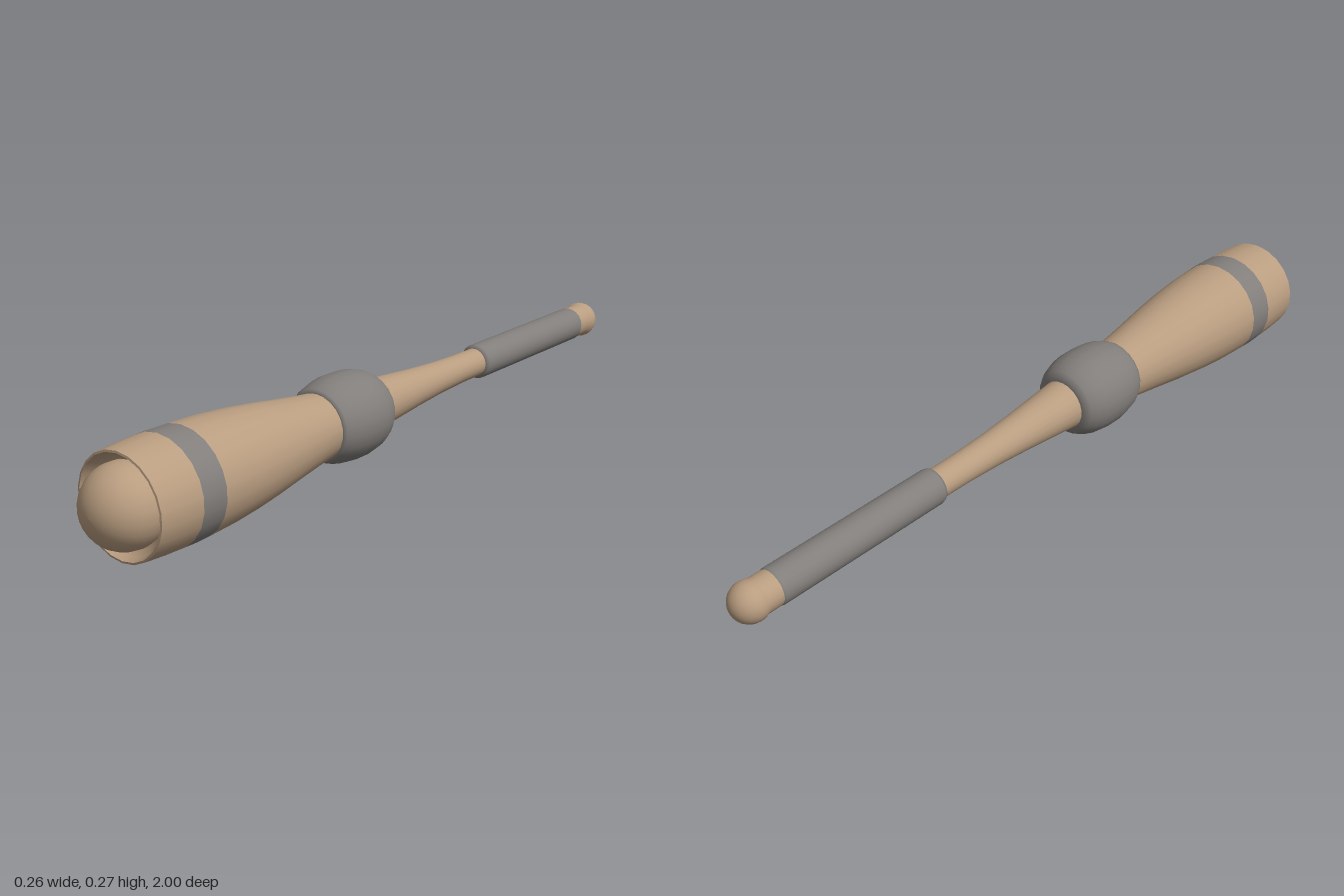
import * as THREE from 'three';

const SEGMENTS = 22;
const AXIS_Y = 0.133;

export function createModel() {
  const group = new THREE.Group();
  const tan = new THREE.MeshStandardMaterial({ color: 0xb99d80 });
  tan.name = 'tan wood';
  const grey = new THREE.MeshStandardMaterial({ color: 0x827e7b });
  grey.name = 'grey wrap';

  // Turned part: profile of [z, radius] running from back to front
  function turned(name, material, profile) {
    const points = profile.map(([z, r]) => new THREE.Vector2(r, z));
    const geometry = new THREE.LatheGeometry(points, SEGMENTS);
    geometry.rotateX(Math.PI / 2);
    const mesh = new THREE.Mesh(geometry, material);
    mesh.name = name;
    mesh.position.y = AXIS_Y;
    group.add(mesh);
  }

  // Arc of a rounded end or bulb, between two angles measured from the back pole
  function arc(centre, rz, rr, from, to, steps) {
    return Array.from({ length: steps + 1 }, (_, i) => {
      const a = from + (to - from) * i / steps;
      return [centre - rz * Math.cos(a), Math.max(0, rr * Math.sin(a))];
    });
  }

  // Rounded pommel at the back end
  turned('pommel', tan, [...arc(-0.95, 0.05, 0.05, 0, 2.0, 12), [-0.89, 0.045]]);

  // Long wrapped grip with softened ends
  turned('grip', grey, [[-0.89, 0.044], [-0.885, 0.047], [-0.4, 0.047], [-0.392, 0.044], [-0.39, 0.036]]);

  // Flared neck between grip and bulb
  turned('neck', tan, [[-0.4, 0.038], [-0.3, 0.039], [-0.2, 0.043], [-0.1, 0.05], [0, 0.059], [0.09, 0.067]]);

  // Grey bulb in the middle
  turned('bulb', grey, [
    [0.07, 0.064], [0.072, 0.078], [0.082, 0.088], [0.1, 0.098], [0.125, 0.106], [0.155, 0.11],
    [0.2, 0.11], [0.23, 0.106], [0.255, 0.1], [0.273, 0.092], [0.28, 0.088], [0.28, 0.08],
  ]);

  // Tapered barrel, inlaid band and front collar
  turned('barrel', tan, [
    [0.27, 0.082], [0.33, 0.089], [0.4, 0.099], [0.48, 0.111], [0.56, 0.121], [0.64, 0.128], [0.73, 0.132],
  ]);
  turned('band', grey, [[0.73, 0.132], [0.765, 0.133], [0.8, 0.132]]);
  turned('collar', tan, [[0.8, 0.132], [0.86, 0.13], [0.917, 0.126]]);

  // Rim and recessed socket around the ball
  turned('rim', tan, [[0.917, 0.126], [0.918, 0.121]]);
  turned('socket', tan, [[0.918, 0.121], [0.9, 0.114], [0.885, 0.103], [0.88, 0.09]]);

  // Ball set into the socket
  turned('ball', tan, arc(0.902, 0.098, 0.098, Math.PI * 0.35, Math.PI, 16));

  return group;
}
